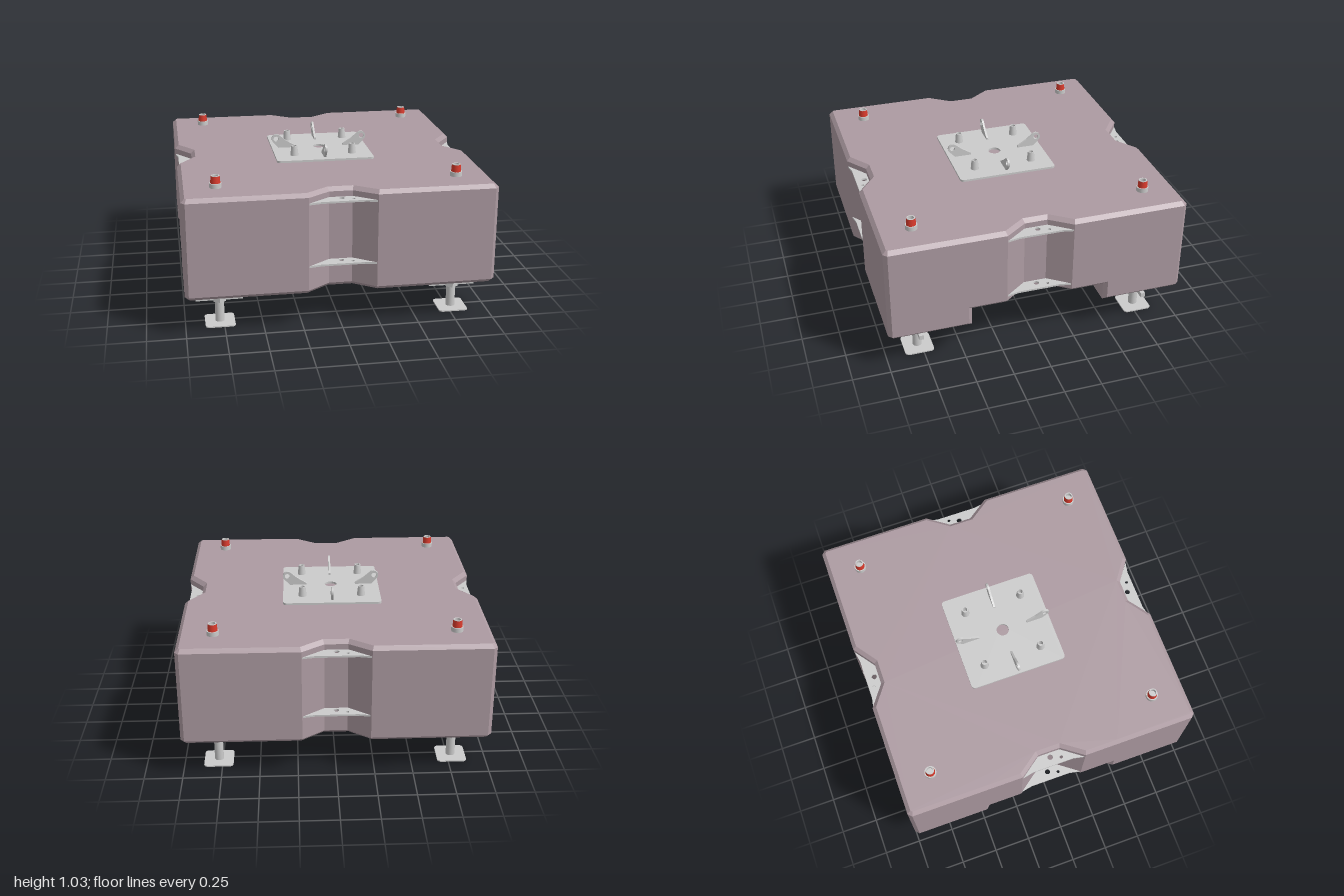
import * as THREE from 'three';

const grey = new THREE.MeshStandardMaterial({ color: 0xcccccc });
const blockMat = new THREE.MeshStandardMaterial({ color: 0xac9aa1, flatShading: true });
const redMat = new THREE.MeshStandardMaterial({ color: 0xd83a2c });

function add(parent, name, geo, mat = grey, x = 0, y = 0, z = 0) {
  const m = new THREE.Mesh(geo, mat);
  m.name = name;
  m.position.set(x, y, z);
  parent.add(m);
  return m;
}

function circleHole(x, y, r) {
  return new THREE.Path().absarc(x, y, r, 0, Math.PI * 2, true);
}

// Flat plate drawn in (x, z), with its top at y = 0
function slab(shape, thickness) {
  return new THREE.ExtrudeGeometry(shape, { depth: thickness, bevelEnabled: false, curveSegments: 10 })
    .rotateX(Math.PI / 2);
}

function roundedSquare(h, r) {
  const s = new THREE.Shape(), k = h - r;
  s.absarc(k, k, r, 0, Math.PI / 2);
  s.absarc(-k, k, r, Math.PI / 2, Math.PI);
  s.absarc(-k, -k, r, Math.PI, Math.PI * 1.5);
  s.absarc(k, -k, r, Math.PI * 1.5, Math.PI * 2);
  return s;
}

function lathe(pts, sides = 24) {
  // doubled points keep the profile corners crisp
  const v = [];
  for (let i = 0; i < pts.length - 1; i++) {
    const a = new THREE.Vector2(...pts[i]), b = new THREE.Vector2(...pts[i + 1]);
    v.push(a, a.clone().lerp(b, 0.02), a.clone().lerp(b, 0.98), b);
  }
  return new THREE.LatheGeometry(v, sides);
}

// Chamfered block with a notch in each side and a channel under it along x
function blockGeometry() {
  // half of one side: outer x, z, chamfered x, z, over the channel?
  const half = [
    [1, 0.975, 0.975, 0.965, 0], [1, 0.475, 0.975, 0.45, 0], [1, 0.475, 0.975, 0.45, 1],
    [1, 0.22, 0.975, 0.228, 1], [0.895, 0.075, 0.87, 0.083, 1],
  ];
  const side = [
    ...half.map(([a, b, c, d, e]) => [a, -b, c, -d, e]),
    ...half.slice().reverse(),
  ];
  const ring = [];
  for (let k = 0; k < 4; k++) {
    const c = [1, 0, -1, 0][k], s = [0, 1, 0, -1][k];
    for (const [a, b, p, q, ch] of side) {
      if (k % 2 && b === (b < 0 ? -0.475 : 0.475)) continue;
      ring.push({
        o: [c * a - s * b, s * a + c * b], i: [c * p - s * q, s * p + c * q],
        ch: k % 2 ? 0 : ch,
      });
    }
  }
  const pos = [];
  const quad = (a, b, c, d) => pos.push(...a, ...b, ...c, ...a, ...c, ...d);
  const at = ([x, z], y) => [x, y, z];
  const levels = (p) => [
    at(p.i, p.ch ? 0.375 : 0.25), at(p.o, p.ch ? 0.4 : 0.275), at(p.o, 0.895), at(p.i, 0.92),
  ];
  ring.forEach((p, n) => {
    const a = levels(p), b = levels(ring[(n + 1) % ring.length]);
    for (let l = 0; l < 3; l++) quad(a[l], a[l + 1], b[l + 1], b[l]);
  });
  const cap = (list, y, up) => {
    const pts = list.map((p) => new THREE.Vector2(...p.i));
    for (const f of THREE.ShapeUtils.triangulateShape(pts, [])) {
      if (up) f.reverse();
      for (const n of f) pos.push(pts[n].x, y, pts[n].y);
    }
  };
  cap(ring.filter((p, n) => !(p.ch === 1 && Math.abs(p.i[1]) === 0.45)), 0.92, true);
  cap(ring.filter((p) => p.ch), 0.375, false);
  for (const s of [1, -1]) {
    cap(ring.filter((p) => !p.ch && p.i[1] * s > 0), 0.25, false);
    const x = 0.975 * s, z = 0.45 * s;
    quad([-x, 0.25, z], [-x, 0.375, z], [x, 0.375, z], [x, 0.25, z]);
  }
  const g = new THREE.BufferGeometry();
  g.setAttribute('position', new THREE.Float32BufferAttribute(pos, 3));
  g.computeVertexNormals();
  return g;
}

export function createModel() {
  const model = new THREE.Group();
  model.name = 'ballastBlock';
  add(model, 'block', blockGeometry(), blockMat);

  // Pairs of drilled plates set in the side notches
  const notch = new THREE.Shape([
    [-0.215, 0.998], [-0.073, 0.893], [0.073, 0.893], [0.215, 0.998], [0.14, 0.983], [-0.14, 0.983],
  ].map((p) => new THREE.Vector2(...p)));
  notch.holes.push(circleHole(0, 0.925, 0.018), circleHole(0.07, 0.948, 0.011));
  const notchPlate = slab(notch, 0.012);
  for (let k = 0; k < 4; k++) {
    for (const y of [0.858, 0.441]) {
      add(model, 'notchPlate', notchPlate, grey, 0, y, 0).rotation.y = k * Math.PI / 2;
    }
  }

  // Central mounting plate
  const mount = new THREE.Group();
  mount.name = 'mount';
  mount.position.y = 0.934;
  model.add(mount);
  const plate = roundedSquare(0.332, 0.025);
  plate.holes.push(circleHole(0, 0, 0.042));
  add(mount, 'mountPlate', slab(plate, 0.014));

  // Lifting lugs and hollow posts, four of each
  const lug = new THREE.Shape();
  lug.moveTo(0.17, 0);
  lug.lineTo(0.285, 0);
  lug.lineTo(0.325, 0.042);
  lug.absarc(0.3, 0.064, 0.033, -0.7, 2.3);
  lug.lineTo(0.235, 0.052);
  lug.lineTo(0.17, 0.012);
  lug.holes.push(circleHole(0.303, 0.064, 0.017));
  const lugGeo = new THREE.ExtrudeGeometry(lug, { depth: 0.014, bevelEnabled: false })
    .translate(0, 0, -0.007);
  const postGeo = lathe([[0.028, 0], [0.021, 0.066], [0.015, 0.066], [0.015, 0.01], [0, 0.01]]);
  for (let k = 0; k < 4; k++) {
    add(mount, 'liftingLug', lugGeo).rotation.y = k * Math.PI / 2;
    add(mount, 'post', postGeo, grey, k & 1 ? 0.2 : -0.2, 0, k & 2 ? 0.2 : -0.2);
  }

  // Levelling jacks: foot, screw, winged nut, and the capped screw end on top
  const foot = slab(roundedSquare(0.097, 0.025), 0.008);
  const screw = new THREE.CylinderGeometry(0.03, 0.03, 0.245, 24);
  const sleeve = new THREE.CylinderGeometry(0.037, 0.037, 0.065, 24);
  const nut = new THREE.CylinderGeometry(0.046, 0.046, 0.045, 6).toNonIndexed();
  nut.computeVertexNormals();
  const wing = new THREE.BoxGeometry(0.12, 0.032, 0.03);
  const collar = lathe([[0.039, 0], [0.039, 0.03], [0.029, 0.03], [0.027, 0.078],
    [0.02, 0.078], [0.02, 0.05], [0, 0.05]]);
  const cap = new THREE.CylinderGeometry(0.0285, 0.032, 0.046, 24, 1, true);
  for (const x of [-0.775, 0.775]) {
    for (const z of [-0.775, 0.775]) {
      const jack = new THREE.Group();
      jack.name = 'levellingJack';
      jack.position.set(x, 0, z);
      model.add(jack);
      add(jack, 'foot', foot, grey, 0, 0.008, 0);
      add(jack, 'screw', screw, grey, 0, 0.13, 0);
      add(jack, 'sleeve', sleeve, grey, 0, 0.223, 0);
      add(jack, 'nut', nut, grey, 0, 0.172, 0);
      for (const s of [-1, 1]) add(jack, 'nutWing', wing, grey, s * 0.093, 0.172, 0);
      add(jack, 'collar', collar, grey, 0, 0.92, 0);
      add(jack, 'redCap', cap, redMat, 0, 0.973, 0);
    }
  }
  // lathe profiles run up the outside, so every turned part faces outward
  return model;
}
